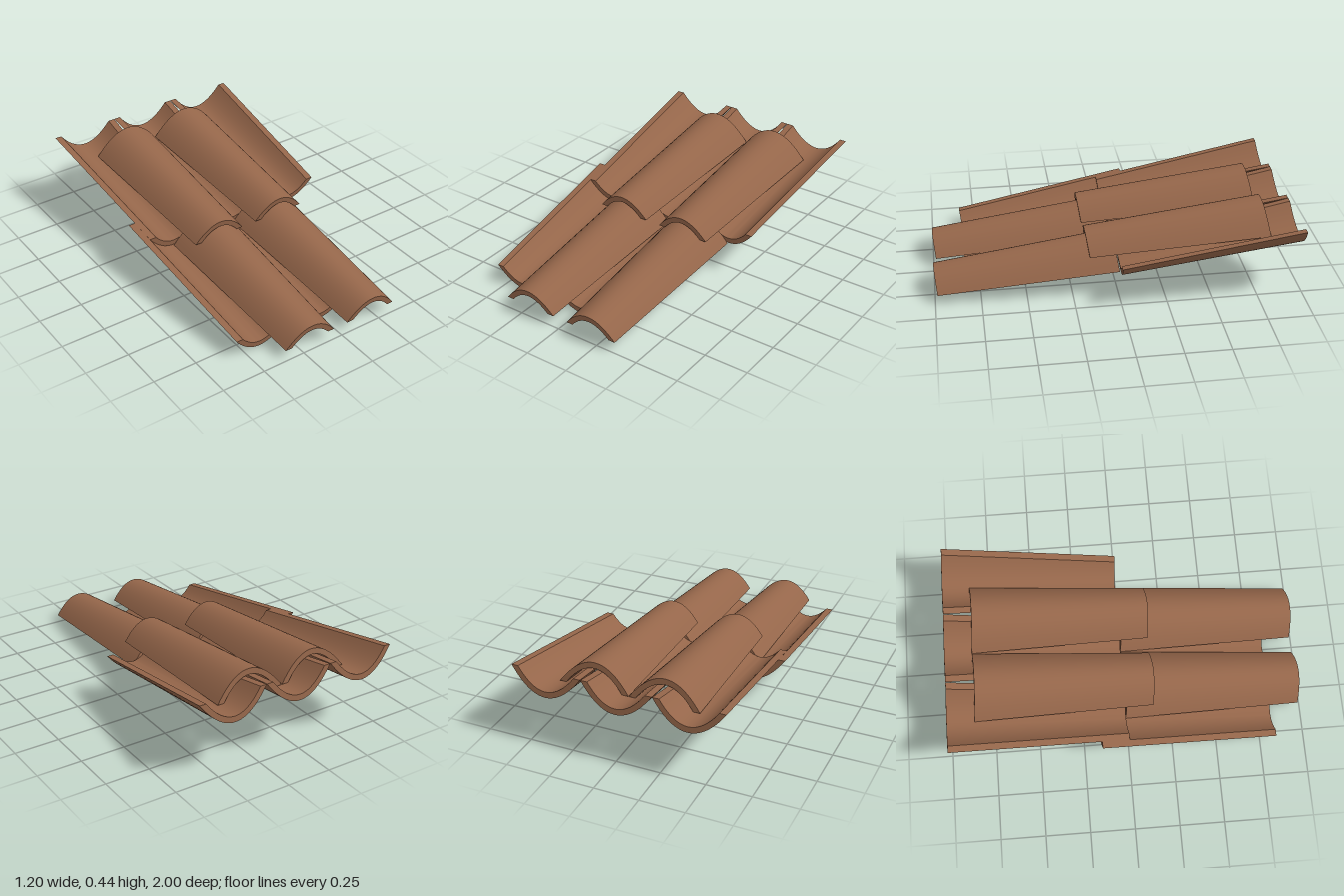
import * as THREE from 'three';
import { toCreasedNormals } from 'three/addons/utils/BufferGeometryUtils.js';

const SEGMENTS = 24;
const THICKNESS = 0.032; // at the middle of the curve
const RIM = 0.038;       // width of the flat long edges
const TILT = 0.135;      // lean of the end faces, square to the slope

// One end of a tile: outer curve left to right, then inner curve back again
function section({ z, y, halfWidth, depth }, arched) {
  const points = [];
  const add = (u, width, thickness) => {
    const rise = thickness + (depth - thickness) * u * u;
    const h = arched ? depth - rise : rise;
    points.push([(arched ? -u : u) * width, y + h, z + h * TILT]);
  };
  for (let i = 0; i <= SEGMENTS; i++) add(2 * i / SEGMENTS - 1, halfWidth, 0);
  for (let i = SEGMENTS; i >= 0; i--) add(2 * i / SEGMENTS - 1, halfWidth - RIM, THICKNESS);
  return points;
}

// Tapered curved tile between a narrow front end and a wide back end
function tileGeometry(frontZ, frontY, backZ, backY, arched) {
  const front = section({ z: frontZ, y: frontY, halfWidth: 0.155, depth: 0.102 }, arched);
  const back = section({ z: backZ, y: backY, halfWidth: 0.199, depth: 0.143 }, arched);
  const positions = [];
  const quad = (a, b, c, d) => positions.push(...a, ...b, ...c, ...a, ...c, ...d);
  const count = front.length;
  // curved faces and long rims
  for (let i = 0; i < count; i++) {
    const j = (i + 1) % count;
    quad(front[i], back[i], back[j], front[j]);
  }
  // end faces
  for (let i = 0; i < SEGMENTS; i++) {
    const k = count - 1 - i;
    quad(front[i], front[i + 1], front[k - 1], front[k]);
    quad(back[k], back[k - 1], back[i + 1], back[i]);
  }
  const geometry = new THREE.BufferGeometry();
  geometry.setAttribute('position', new THREE.Float32BufferAttribute(positions, 3));
  return toCreasedNormals(geometry, 0.5);
}

export function createModel() {
  const model = new THREE.Group();
  model.name = 'roofTiles';
  const terracotta = new THREE.MeshStandardMaterial({ color: 0x95664a });
  terracotta.name = 'terracotta';

  // Rows of troughs (pans) and the arched covers that bridge them
  const rows = [
    { name: 'lowerPan', xs: [-0.4, 0], ends: [0.82, 0.003, -0.167, 0.137], arched: false },
    { name: 'upperPan', xs: [-0.4, 0, 0.4], ends: [-0.01, 0.153, -0.998, 0.286], arched: false },
    { name: 'lowerCover', xs: [-0.2, 0.2], ends: [0.985, 0.056, -0.005, 0.15], arched: true },
    { name: 'upperCover', xs: [-0.2, 0.2], ends: [0.153, 0.225, -0.84, 0.303], arched: true },
  ];
  for (const { name, xs, ends, arched } of rows) {
    const geometry = tileGeometry(...ends, arched);
    xs.forEach((x, i) => {
      const tile = new THREE.Mesh(geometry, terracotta);
      tile.name = name + (i + 1);
      tile.position.x = x;
      model.add(tile);
    });
  }
  return model;
}
